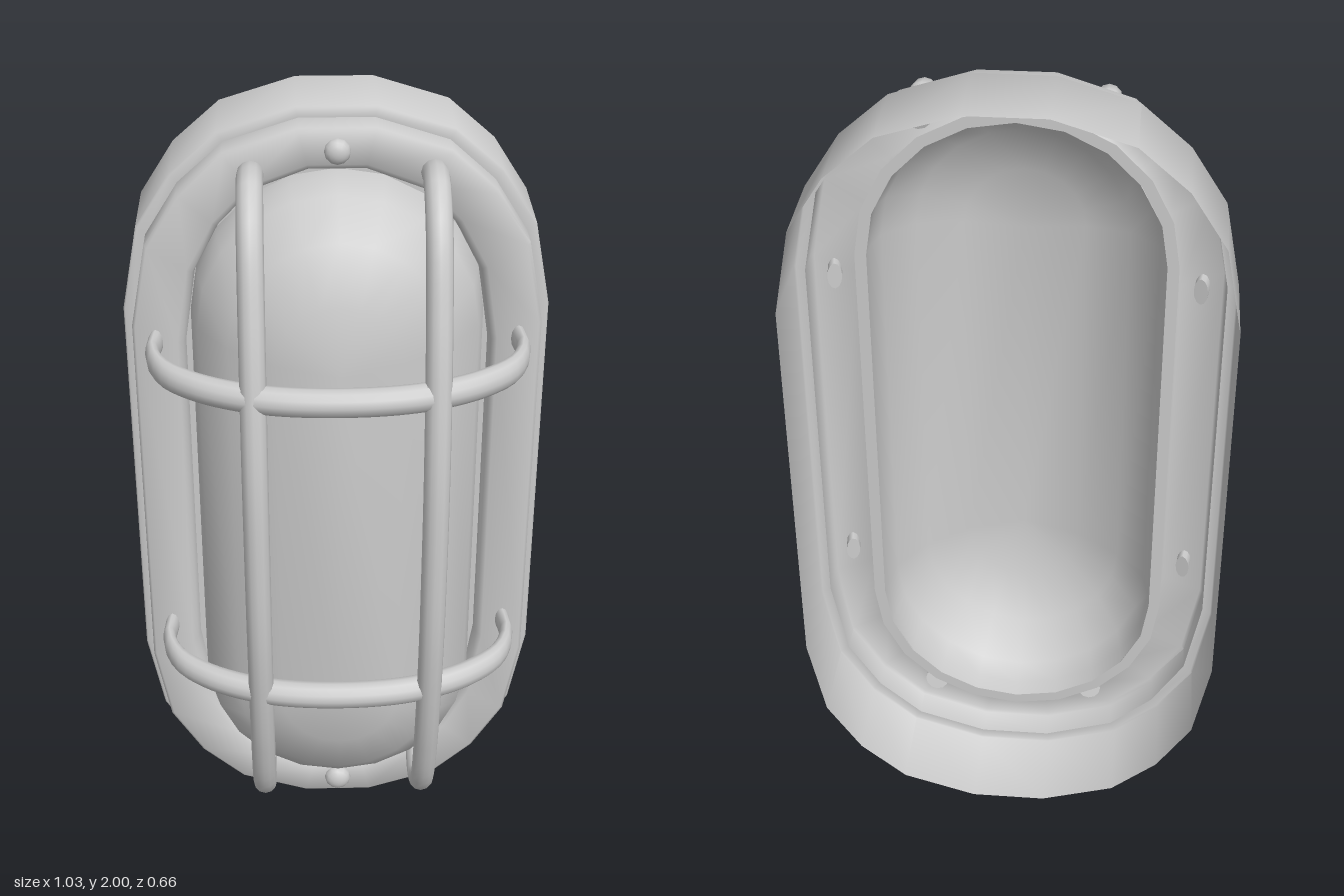
import * as THREE from 'three';
import { toCreasedNormals } from 'three/addons/utils/BufferGeometryUtils.js';

const MID = 1; // height of the lamp's centre
const PLATE_Z = -0.033; // front face of the housing

const solid = new THREE.MeshStandardMaterial({ color: 0xcccccc });
const shell = new THREE.MeshStandardMaterial({ color: 0xcccccc, side: THREE.DoubleSide });

function add(parent, name, geometry, material = solid) {
  const mesh = new THREE.Mesh(geometry, material);
  mesh.name = name;
  parent.add(mesh);
  return mesh;
}

// Skin closed rings of equal length, ordered back to front, counter-clockwise from the front
function loft(rings) {
  const n = rings[0].length;
  const index = [];
  for (let i = 0; i < rings.length - 1; i++) {
    for (let j = 0; j < n; j++) {
      const k = (j + 1) % n;
      const a = i * n + j, b = i * n + k, c = a + n, d = b + n;
      index.push(a, b, d, a, d, c);
    }
  }
  const g = new THREE.BufferGeometry();
  g.setAttribute('position', new THREE.Float32BufferAttribute(rings.flat(2), 3));
  g.setIndex(index);
  return toCreasedNormals(g, 0.9);
}

// Faceted oval outline of the housing, scaled to a half width and half height
const QUARTER = [[1, 0.5], [0.922, 0.71], [0.757, 0.843], [0.535, 0.943], [0.18, 1]];
function housingRing([w, h, z]) {
  const flip = [...QUARTER].reverse();
  const all = [
    ...QUARTER,
    ...flip.map(([x, y]) => [-x, y]),
    ...QUARTER.map(([x, y]) => [-x, -y]),
    ...flip.map(([x, y]) => [x, -y]),
  ];
  return all.map(([x, y]) => [x * w, MID + y * h, z]);
}

// Stadium ring of the lens: two half circles around separated centres
function lensRing([r, c, z]) {
  const ring = [];
  for (const side of [0, 1]) {
    for (let i = 0; i <= 10; i++) {
      const a = Math.PI * (side + i / 10);
      ring.push([r * Math.cos(a), MID + (side ? -c : c) + r * Math.sin(a), z]);
    }
  }
  return ring;
}

// Round bar along a smooth path, closed at both ends
function bar(parent, name, points, radius) {
  const group = new THREE.Group();
  group.name = name;
  const path = new THREE.CatmullRomCurve3(points);
  add(group, 'rod', new THREE.TubeGeometry(path, 48, radius, 12));
  for (const t of [0, 1]) {
    const cap = add(group, 'rodEnd', new THREE.CircleGeometry(radius, 12));
    const out = path.getTangent(t).multiplyScalar(t ? 1 : -1);
    cap.position.copy(path.getPoint(t));
    cap.quaternion.setFromUnitVectors(new THREE.Vector3(0, 0, 1), out);
  }
  parent.add(group);
  return group;
}

// Turn half a bar profile [across, z] into a full mirrored list
const mirrored = (half) => [
  ...half.map(([s, z]) => [-s, z]),
  ...[...half].reverse().filter(([s]) => s > 0).map(([s, z]) => [s, z]),
];

export function createModel() {
  const model = new THREE.Group();
  model.name = 'bulkheadLamp';

  // Hollow housing, open at the back: wall, step, bezel and inner lip
  add(model, 'housing', loft([
    [0.517, 1, -0.33],
    [0.517, 1, -0.114],
    [0.513, 0.996, -0.11],
    [0.492, 0.975, -0.11],
    [0.492, 0.975, -0.04],
    [0.485, 0.968, PLATE_Z],
    [0.385, 0.89, PLATE_Z],
    [0.372, 0.877, -0.045],
    [0.366, 0.871, -0.075],
  ].map(housingRing)), shell);

  // Domed lens, hollow behind, seated on a narrow flange inside the lip
  add(model, 'lens', loft([
    [0.38, 0.515, -0.075],
    [0.352, 0.515, -0.075],
    [0.348, 0.515, -0.03],
    [0.333, 0.51, 0.03],
    [0.26, 0.5, 0.115],
    [0.15, 0.48, 0.17],
    [0, 0.46, 0.192],
  ].map(lensRing)), shell);

  // Wire guard
  const guard = new THREE.Group();
  guard.name = 'wireGuard';
  model.add(guard);
  const uprightHalf = [[0.85, -0.06], [0.866, 0], [0.866, 0.05], [0.79, 0.145],
    [0.6, 0.222], [0.28, 0.283], [0, 0.296]];
  for (const x of [-0.2, 0.222]) {
    const points = mirrored(uprightHalf).map(([s, z]) => new THREE.Vector3(x, 1.012 + s, z));
    bar(guard, 'uprightBar', points, 0.031);
  }
  // Cross bars are squeezed sideways, so their legs are flat where they meet the bezel
  const squeeze = 0.5;
  const crossHalf = [[0.433, -0.06], [0.442, 0.03], [0.418, 0.11], [0.345, 0.187],
    [0.2, 0.257], [0, 0.282]];
  for (const y of [0.612, 1.445]) {
    const points = mirrored(crossHalf).map(([s, z]) => new THREE.Vector3(s / squeeze, y, z));
    bar(guard, 'crossBar', points, 0.034).scale.x = squeeze;
  }

  // Domed screws at the top and bottom of the bezel
  for (const [y, r] of [[0.075, 0.036], [1.922, 0.031]]) {
    const dome = new THREE.SphereGeometry(r, 12, 5, 0, Math.PI * 2, 0, Math.PI / 2);
    dome.rotateX(Math.PI / 2).scale(1, 1, 0.75);
    add(model, 'screw', dome, shell).position.set(0, y, PLATE_Z);
  }

  return model;
}
